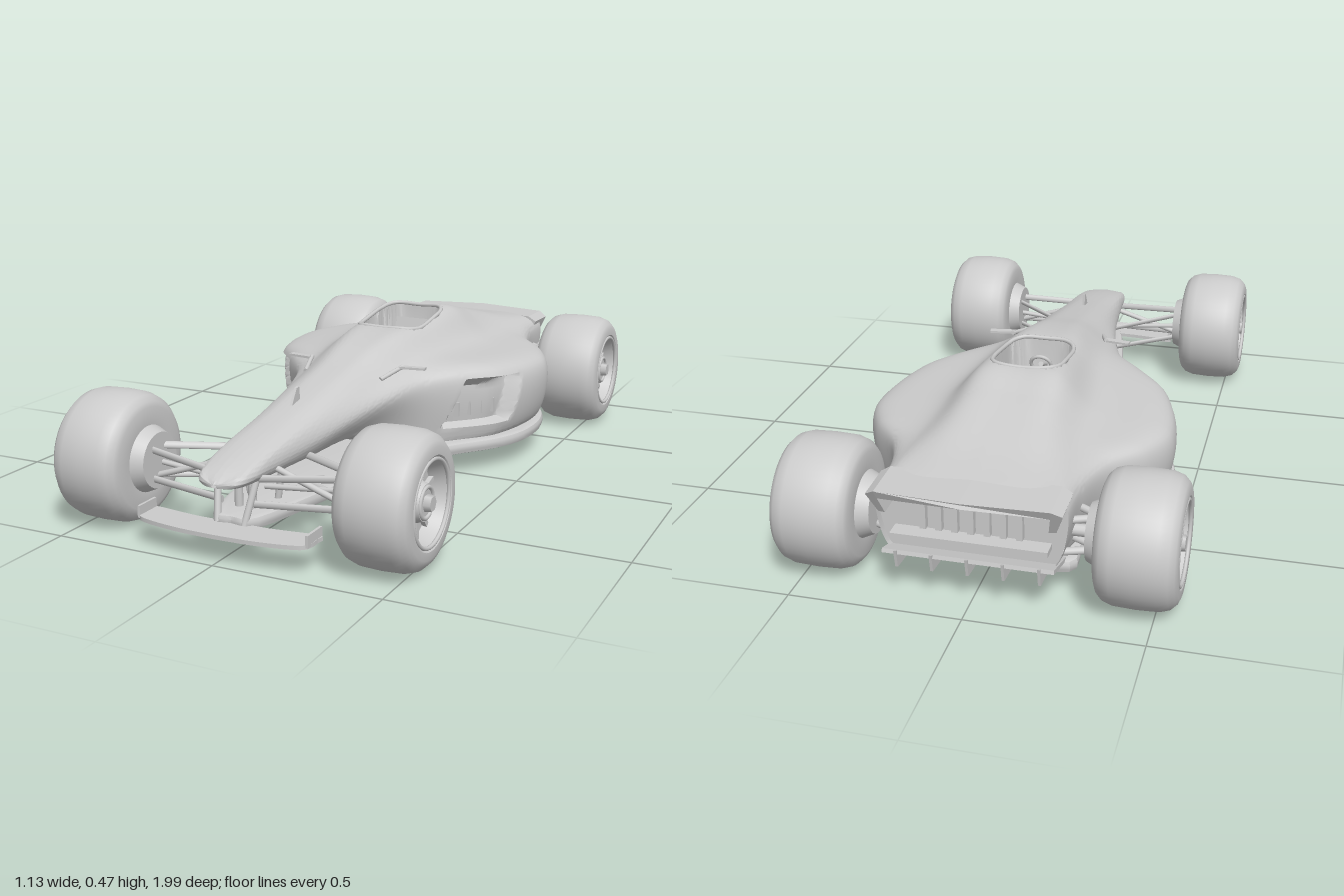
import * as THREE from 'three';
import { toCreasedNormals } from 'three/addons/utils/BufferGeometryUtils.js';

const grey = new THREE.MeshStandardMaterial({ color: 0xcccccc, side: THREE.DoubleSide });
const V = (x, y, z) => new THREE.Vector3(x, y, z);

function add(parent, name, geo, x = 0, y = 0, z = 0) {
  const m = new THREE.Mesh(geo, grey);
  m.name = name;
  m.position.set(x, y, z);
  parent.add(m);
  return m;
}

// Flattened or round bar between two points
function bar(parent, name, a, b, r, flat = 1) {
  const geo = new THREE.CylinderGeometry(r, r, a.distanceTo(b), 12).scale(1, 1, flat);
  const m = add(parent, name, geo);
  m.position.copy(a).lerp(b, 0.5);
  m.quaternion.setFromUnitVectors(V(0, 1, 0), b.clone().sub(a).normalize());
  return m;
}

// Mirrored flat plate from half an outline of [x, z]
function plate(parent, name, half, y, thick, bevel) {
  const right = new THREE.SplineCurve(half.map(([x, z]) => new THREE.Vector2(x, -z))).getPoints(50);
  const left = right.map(p => new THREE.Vector2(-p.x, p.y)).reverse().filter(p => p.x < -0.001);
  const geo = new THREE.ExtrudeGeometry(new THREE.Shape([...right, ...left]), {
    depth: thick, bevelEnabled: bevel > 0, bevelSize: bevel, bevelThickness: bevel, bevelOffset: -bevel, bevelSegments: 2 });
  return add(parent, name, toCreasedNormals(geo.rotateX(-Math.PI / 2), 0.5), 0, y, 0);
}

// Stations: z, top y, top half width, shoulder x y, flank x y, sill x y, bottom y
const stations = [
  [0.98, 0.222, 0.004, 0.006, 0.22, 0.008, 0.216, 0.006, 0.213, 0.211],
  [0.965, 0.233, 0.03, 0.046, 0.229, 0.052, 0.218, 0.046, 0.212, 0.209],
  [0.92, 0.253, 0.045, 0.068, 0.242, 0.076, 0.224, 0.068, 0.212, 0.207],
  [0.8, 0.284, 0.05, 0.078, 0.268, 0.088, 0.236, 0.08, 0.212, 0.205],
  [0.6, 0.322, 0.05, 0.09, 0.295, 0.108, 0.25, 0.093, 0.21, 0.2],
  [0.4, 0.36, 0.055, 0.108, 0.325, 0.14, 0.275, 0.11, 0.21, 0.198],
  [0.25, 0.39, 0.06, 0.13, 0.34, 0.175, 0.295, 0.14, 0.2, 0.175],
  [0.12, 0.42, 0.07, 0.15, 0.36, 0.22, 0.31, 0.19, 0.15, 0.1],
  [0, 0.438, 0.085, 0.17, 0.372, 0.31, 0.322, 0.3, 0.14, 0.09],
  [-0.12, 0.445, 0.1, 0.19, 0.372, 0.4, 0.318, 0.4, 0.14, 0.09],
  [-0.36, 0.466, 0.115, 0.22, 0.365, 0.452, 0.308, 0.448, 0.14, 0.09],
  [-0.5, 0.436, 0.12, 0.225, 0.357, 0.405, 0.308, 0.4, 0.14, 0.09],
  [-0.62, 0.407, 0.13, 0.225, 0.353, 0.315, 0.308, 0.29, 0.14, 0.09],
  [-0.76, 0.375, 0.15, 0.232, 0.348, 0.272, 0.31, 0.25, 0.15, 0.1],
  [-0.9, 0.353, 0.18, 0.24, 0.342, 0.266, 0.315, 0.25, 0.17, 0.135]];

// Smooth interpolation of the stations, as a half-section curve
function section(z) {
  const s = stations, n = s.length;
  let i = 0;
  while (i < n - 2 && z < s[i + 1][0]) i++;
  const h = s[i + 1][0] - s[i][0], t = (z - s[i][0]) / h;
  const slope = (k, c) => {
    const a = s[Math.max(k - 1, 0)], b = s[Math.min(k + 1, n - 1)];
    return (b[c] - a[c]) / (b[0] - a[0]) * h;
  };
  const [yt, xt, xs, ys, xo, yo, xl, yl, yb] = s[i].slice(1).map((p, k) => {
    const q = s[i + 1][k + 1], a = slope(i, k + 1), b = slope(i + 1, k + 1);
    return p + t * (a + t * (3 * (q - p) - 2 * a - b + t * (2 * (p - q) + a + b)));
  });
  return new THREE.CatmullRomCurve3([V(0, yt, z), V(xt, yt - 0.005, z), V(xs, ys, z), V(xo, yo, z),
    V(xl, yl, z), V(xl * 0.9, yb, z), V(0, yb, z)]);
}

function topY(x, z) {
  return section(z).getPoints(150).find(p => p.x >= Math.abs(x)).y;
}

// Bodywork loft, with cockpit and side intakes pressed in
function bodyGeometry() {
  const N = 72, rows = 200, cols = 2 * N + 1, pos = [], idx = [];
  const step = THREE.MathUtils.smoothstep;
  for (let j = 0; j <= rows; j++) {
    const z = 0.98 - 1.88 * j / rows, pts = section(z).getPoints(N);
    for (let i = -N; i <= N; i++) {
      let { x, y } = pts[Math.abs(i)];
      const e = (x / 0.108) ** 4 + ((z + 0.21) / 0.148) ** 4;
      if (y > 0.35) y -= 0.15 * (1 - step(e, 0.85, 1.15));
      const k = z + (y - 0.23) * 0.3;
      const mask = step(y, 0.15, 0.165) * (1 - step(y, 0.29, 0.305)) * step(k, -0.18, -0.165) * (1 - step(k, 0.01, 0.025));
      if (x > 0.2) x -= 0.05 * mask;
      pos.push(i < 0 ? -x : x, y, z);
      if (j < rows && i < N) {
        const a = j * cols + i + N, c = a + cols;
        idx.push(a, a + 1, c, a + 1, c + 1, c);
      }
    }
  }
  const geo = new THREE.BufferGeometry();
  geo.setAttribute('position', new THREE.Float32BufferAttribute(pos, 3));
  geo.setIndex(idx);
  return toCreasedNormals(geo, 0.7);
}

// Wheel with its outer face towards +x
function wheel(w) {
  const g = new THREE.Group();
  const along = geo => geo.rotateZ(-Math.PI / 2);
  const cyl = (r0, r1, len, n = 40) => along(new THREE.CylinderGeometry(r1, r0, len, n));
  const profile = [[0.001, -w + 0.01], [0.1, -w], [0.15, -w], [0.165, -w + 0.006], [0.181, -w + 0.022], [0.19, -w + 0.05],
    [0.1925, 0], [0.19, w - 0.05], [0.181, w - 0.022], [0.165, w - 0.006], [0.15, w], [0.128, w], [0.12, w - 0.006],
    [0.116, w - 0.012], [0.102, w - 0.055], [0.001, w - 0.055]];
  add(g, 'tyre', toCreasedNormals(along(new THREE.LatheGeometry(profile.map(p => new THREE.Vector2(...p)), 56)), 0.5));
  add(g, 'brakeDrum', cyl(0.082, 0.1, 0.04), -w - 0.015);
  add(g, 'rimRing', new THREE.TorusGeometry(0.118, 0.006, 8, 48).rotateY(Math.PI / 2), w - 0.005);
  add(g, 'hub', cyl(0.062, 0.05, 0.04), w - 0.04);
  add(g, 'hubRing', new THREE.TorusGeometry(0.042, 0.006, 8, 32).rotateY(Math.PI / 2), w - 0.02);
  add(g, 'hubNut', cyl(0.026, 0.022, 0.04, 6), w - 0.02);
  for (let i = 0; i < 10; i++) {
    const a = i * Math.PI / 5;
    const spoke = add(g, 'spoke', new THREE.BoxGeometry(0.016, 0.055, 0.014), w - 0.05, Math.cos(a) * 0.08, Math.sin(a) * 0.08);
    spoke.rotation.x = a;
  }
  return g;
}

export function createModel() {
  const car = new THREE.Group();
  car.name = 'racingCar';
  add(car, 'bodywork', bodyGeometry());

  // Cockpit rim, seat and steering
  const rim = [];
  for (let i = 0; i < 48; i++) {
    const a = i / 48 * Math.PI * 2, c = Math.cos(a), s = Math.sin(a);
    const x = 0.109 * Math.sign(c) * Math.sqrt(Math.abs(c)), z = -0.21 + 0.149 * Math.sign(s) * Math.sqrt(Math.abs(s));
    rim.push(V(x, topY(x, z) - 0.002, z));
  }
  add(car, 'cockpitRim', new THREE.TubeGeometry(new THREE.CatmullRomCurve3(rim, true), 120, 0.007, 8, true));
  add(car, 'headrest', new THREE.BoxGeometry(0.13, 0.1, 0.04), 0, 0.37, -0.325).rotation.x = -0.25;
  add(car, 'seat', new THREE.BoxGeometry(0.13, 0.03, 0.14), 0, 0.312, -0.25);
  add(car, 'steeringWheel', new THREE.TorusGeometry(0.032, 0.006, 8, 24), 0, 0.375, -0.12).rotation.x = -0.4;
  bar(car, 'steeringColumn', V(0, 0.375, -0.12), V(0, 0.35, -0.06), 0.008);

  // Floor and front wing
  plate(car, 'floor', [[0, 0.9], [0.07, 0.88], [0.13, 0.62], [0.165, 0.4], [0.215, 0.2], [0.3, 0.05], [0.4, -0.08], [0.45, -0.2],
    [0.457, -0.35], [0.42, -0.48], [0.34, -0.6], [0.27, -0.7], [0.25, -0.82], [0, -0.82]], 0.082, 0.013, 0.013);
  plate(car, 'frontWing', [[0, 0.995], [0.12, 0.99], [0.225, 0.972], [0.262, 0.95], [0.267, 0.9], [0.26, 0.875],
    [0.16, 0.885], [0.1, 0.89], [0, 0.89]], 0.074, 0.012, 0);
  for (const x of [-0.16, 0, 0.16]) for (const z of [-0.12, -0.38])
    add(car, 'floorBolt', new THREE.CylinderGeometry(0.016, 0.016, 0.004, 20), x, 0.068, z);

  // Tail hood: arch swept back to a curved, raked lip
  const arch = new THREE.Shape();
  [[-0.245, 0.27], [-0.268, 0.335], [-0.24, 0.352], [0, 0.358], [0.24, 0.352], [0.268, 0.335], [0.245, 0.27],
    [0.225, 0.27], [0.235, 0.325], [0, 0.335], [-0.235, 0.325], [-0.225, 0.27]]
    .forEach(([x, y], i) => i ? arch.lineTo(x, y) : arch.moveTo(x, y));
  const hood = new THREE.ExtrudeGeometry(arch, { depth: 0.13, bevelEnabled: false });
  const hp = hood.attributes.position;
  for (let i = 0; i < hp.count; i++) {
    const x = hp.getX(i), y = hp.getY(i), back = hp.getZ(i) / 0.13;
    hp.setZ(i, -0.84 - back * (0.135 + 0.022 * (1 - (x / 0.268) ** 2) + (y - 0.355) * 0.5));
    hp.setY(i, y - back * 0.004);
  }
  hood.index || hood.computeVertexNormals();
  add(car, 'tailHood', hood);

  // Rear panel, vents and diffuser
  const ring = section(-0.88).getPoints(40);
  const panel = [...ring, ...ring.slice(1, -1).reverse().map(p => V(-p.x, p.y, 0))].map(p => new THREE.Vector2(p.x * 0.99, p.y));
  add(car, 'rearPanel', new THREE.ShapeGeometry(new THREE.Shape(panel)), 0, 0, -0.88);
  for (let i = -3; i <= 3; i++) add(car, 'rearVent', new THREE.BoxGeometry(0.018, 0.09, 0.03), i * 0.045, 0.25, -0.885);
  add(car, 'rearBeam', new THREE.BoxGeometry(0.44, 0.016, 0.05), 0, 0.19, -0.905);
  add(car, 'diffuser', new THREE.BoxGeometry(0.48, 0.012, 0.17), 0, 0.122, -0.86).rotation.x = 0.3;
  for (let i = -2; i <= 2; i++) {
    const fin = new THREE.Shape([[0.78, 0.085], [0.94, 0.1], [0.95, 0.155], [0.8, 0.11]].map(p => new THREE.Vector2(...p)));
    add(car, 'diffuserFin', new THREE.ExtrudeGeometry(fin, { depth: 0.008, bevelEnabled: false }).rotateY(Math.PI / 2), i * 0.1 - 0.004);
  }

  // Nose fin
  const finShape = new THREE.Shape([[0.51, 0.33], [0.565, 0.32], [0.53, 0.375], [0.515, 0.378]].map(([z, y]) => new THREE.Vector2(-z, y)));
  add(car, 'noseFin', new THREE.ExtrudeGeometry(finShape, { depth: 0.008, bevelEnabled: false }).rotateY(Math.PI / 2), -0.004);

  for (const s of [1, -1]) {
    const P = (x, y, z) => V(s * x, y, z);
    // Wheels
    for (const [name, x, z, w] of [['frontWheel', 0.44, 0.795, 0.108], ['rearWheel', 0.452, -0.785, 0.113]]) {
      const g = wheel(w);
      g.name = name;
      g.position.set(s * x, 0.1925, z);
      if (s < 0) g.rotation.y = Math.PI;
      car.add(g);
    }
    // Front suspension
    bar(car, 'frontUpperArm', P(0.32, 0.232, 0.82), P(0.07, 0.212, 0.865), 0.011, 0.6);
    bar(car, 'frontUpperArm', P(0.32, 0.232, 0.78), P(0.08, 0.212, 0.62), 0.011, 0.6);
    bar(car, 'frontLowerArm', P(0.32, 0.145, 0.82), P(0.05, 0.135, 0.86), 0.011, 0.6);
    bar(car, 'frontLowerArm', P(0.32, 0.145, 0.78), P(0.1, 0.135, 0.64), 0.011, 0.6);
    bar(car, 'steeringRod', P(0.32, 0.185, 0.78), P(0.04, 0.16, 0.78), 0.008);
    bar(car, 'pushRod', P(0.3, 0.15, 0.8), P(0.07, 0.225, 0.79), 0.009);
    bar(car, 'noseStrut', P(0.062, 0.215, 0.86), P(0.042, 0.085, 0.9), 0.01);
    bar(car, 'noseStrut', P(0.062, 0.215, 0.72), P(0.042, 0.09, 0.72), 0.01);
    bar(car, 'damper', P(0.022, 0.21, 0.82), P(0.022, 0.1, 0.82), 0.012);
    // Rear suspension
    for (const z of [-0.73, -0.85]) {
      bar(car, 'rearUpperArm', P(0.34, 0.24, -0.785), P(0.22, 0.25, z), 0.011);
      bar(car, 'rearLowerArm', P(0.34, 0.14, -0.785), P(0.2, 0.15, z), 0.011);
    }
    bar(car, 'driveShaft', P(0.34, 0.1925, -0.785), P(0.2, 0.1925, -0.785), 0.018);
    // Wing end lip
    add(car, 'wingEndLip', new THREE.BoxGeometry(0.008, 0.035, 0.08), s * 0.262, 0.095, 0.915);
    // Mirror winglet
    bar(car, 'mirrorArm', P(0.13, 0.345, 0.23), P(0.16, 0.367, 0.13), 0.007);
    add(car, 'mirrorBlade', new THREE.BoxGeometry(0.085, 0.007, 0.022), s * 0.195, 0.367, 0.135).rotation.y = s * 0.15;
    // Slats inside the side intake
    for (let i = 0; i < 4; i++) {
      const z = -0.02 - i * 0.035;
      add(car, 'intakeSlat', new THREE.BoxGeometry(0.03, 0.045, 0.012), s * (0.277 - (z + 0.02) * 0.75), 0.205, z);
    }
  }
  return car;
}
